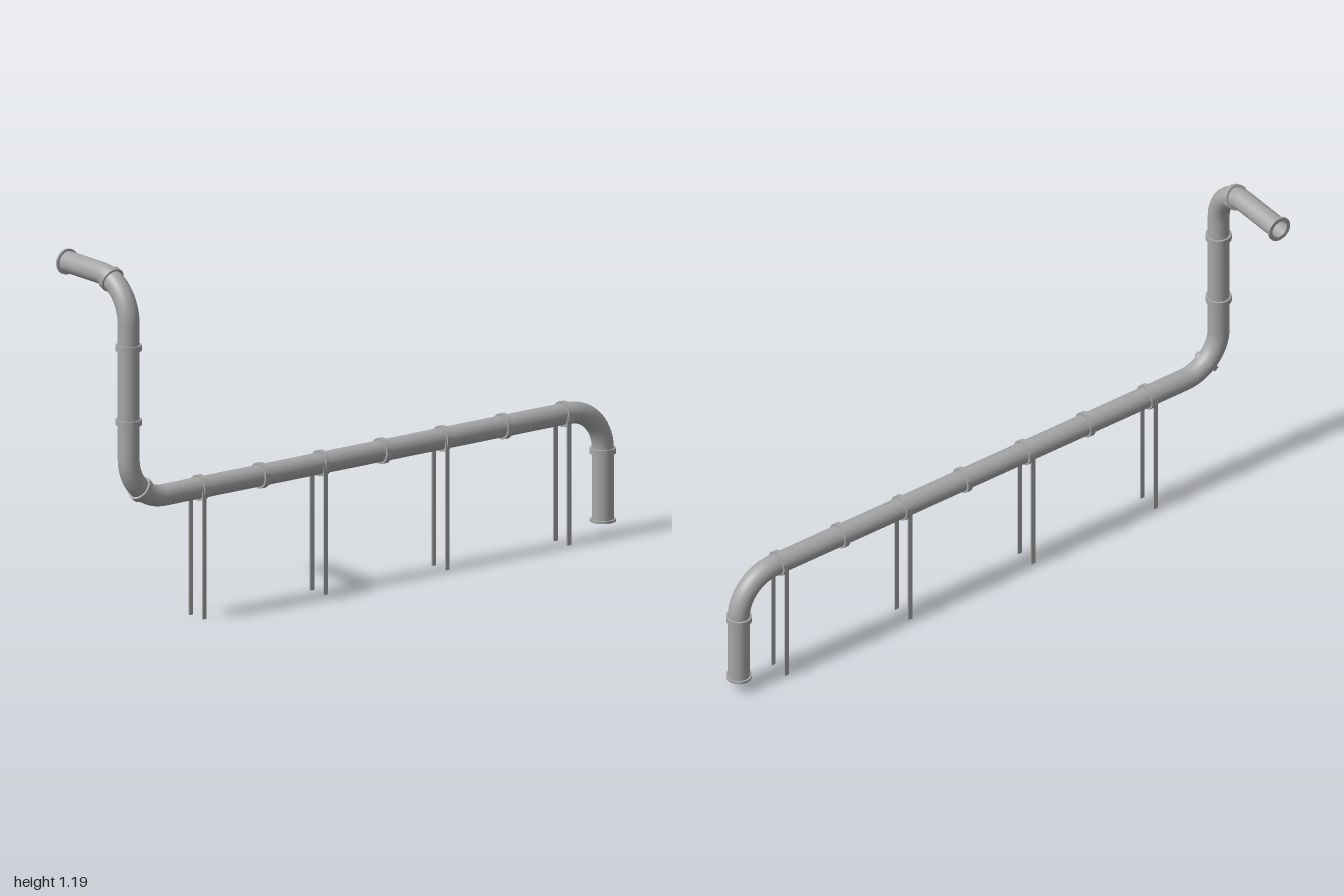
import * as THREE from 'three';
import { toCreasedNormals } from 'three/addons/utils/BufferGeometryUtils.js';

const X = 0.14, R = 0.035, BEND = 0.14, STEP = 0.245;

// Centre line: straight runs joined by quarter-circle bends, by arc length
class PipePath extends THREE.Curve {
  constructor(corners, bend) {
    super();
    this.parts = [];
    let from = corners[0];
    for (let i = 1; i < corners.length; i++) {
      const corner = corners[i];
      const dirIn = corner.clone().sub(corners[i - 1]).normalize();
      const last = i === corners.length - 1;
      const to = last ? corner : corner.clone().addScaledVector(dirIn, -bend);
      const start = from;
      const length = start.distanceTo(to);
      this.parts.push({ length, at: s => start.clone().addScaledVector(dirIn, s) });
      if (last) break;
      const dirOut = corners[i + 1].clone().sub(corner).normalize();
      this.parts.push({
        length: bend * Math.PI / 2,
        at: s => to.clone()
          .addScaledVector(dirIn, bend * Math.sin(s / bend))
          .addScaledVector(dirOut, bend * (1 - Math.cos(s / bend))),
      });
      from = corner.clone().addScaledVector(dirOut, bend);
    }
    this.total = this.parts.reduce((sum, p) => sum + p.length, 0);
  }
  getPoint(t) {
    let s = t * this.total;
    for (const p of this.parts) {
      if (s <= p.length) return p.at(s);
      s -= p.length;
    }
    const end = this.parts[this.parts.length - 1];
    return end.at(end.length);
  }
}

export function createModel() {
  const model = new THREE.Group();
  const metal = new THREE.MeshStandardMaterial({ color: 0xa6a6a6, side: THREE.DoubleSide });
  metal.name = 'grey metal';

  const add = (name, geometry) => {
    const mesh = new THREE.Mesh(geometry, metal);
    mesh.name = name;
    model.add(mesh);
    return mesh;
  };

  const path = new PipePath([
    new THREE.Vector3(-0.182, 1.15, 0.958),
    new THREE.Vector3(X, 1.15, 0.958),
    new THREE.Vector3(X, 0.425, 0.958),
    new THREE.Vector3(X, 0.425, -0.957),
    new THREE.Vector3(X, 0.046, -0.957),
  ], BEND);

  // Hollow pipe with outer and inner walls
  add('pipe', new THREE.TubeGeometry(path, 220, R, 32));
  add('pipeLining', new THREE.TubeGeometry(path, 220, R - 0.005, 32));

  // Square-edged collar around the centre line
  const addRing = (name, s, inner, outer, width) => {
    const h = width / 2;
    const profile = [[inner, -h], [outer, -h], [outer, h], [inner, h], [inner, -h]]
      .map(([r, y]) => new THREE.Vector2(r, y));
    const ring = add(name, toCreasedNormals(new THREE.LatheGeometry(profile, 32), 0.7));
    const t = s / path.total;
    ring.position.copy(path.getPoint(t));
    ring.quaternion.setFromUnitVectors(new THREE.Vector3(0, 1, 0), path.getTangent(t));
  };

  // Evenly spaced joint collars, and thin flanges at both open ends
  for (let i = 0; i < 12; i++) addRing('jointCollar', 0.233 + i * STEP, R - 0.003, 0.042, 0.018);
  addRing('endFlange', 0.004, R - 0.006, 0.042, 0.008);
  addRing('endFlange', path.total - 0.004, R - 0.006, 0.042, 0.008);

  // Pairs of flat support legs under every second collar
  for (const z of [0.68, 0.19, -0.301, -0.793]) {
    for (const side of [-1, 1]) {
      const leg = add('supportLeg', new THREE.BoxGeometry(0.005, 0.425, 0.015));
      leg.position.set(X + side * 0.035, 0.2125, z);
    }
  }
  return model;
}
